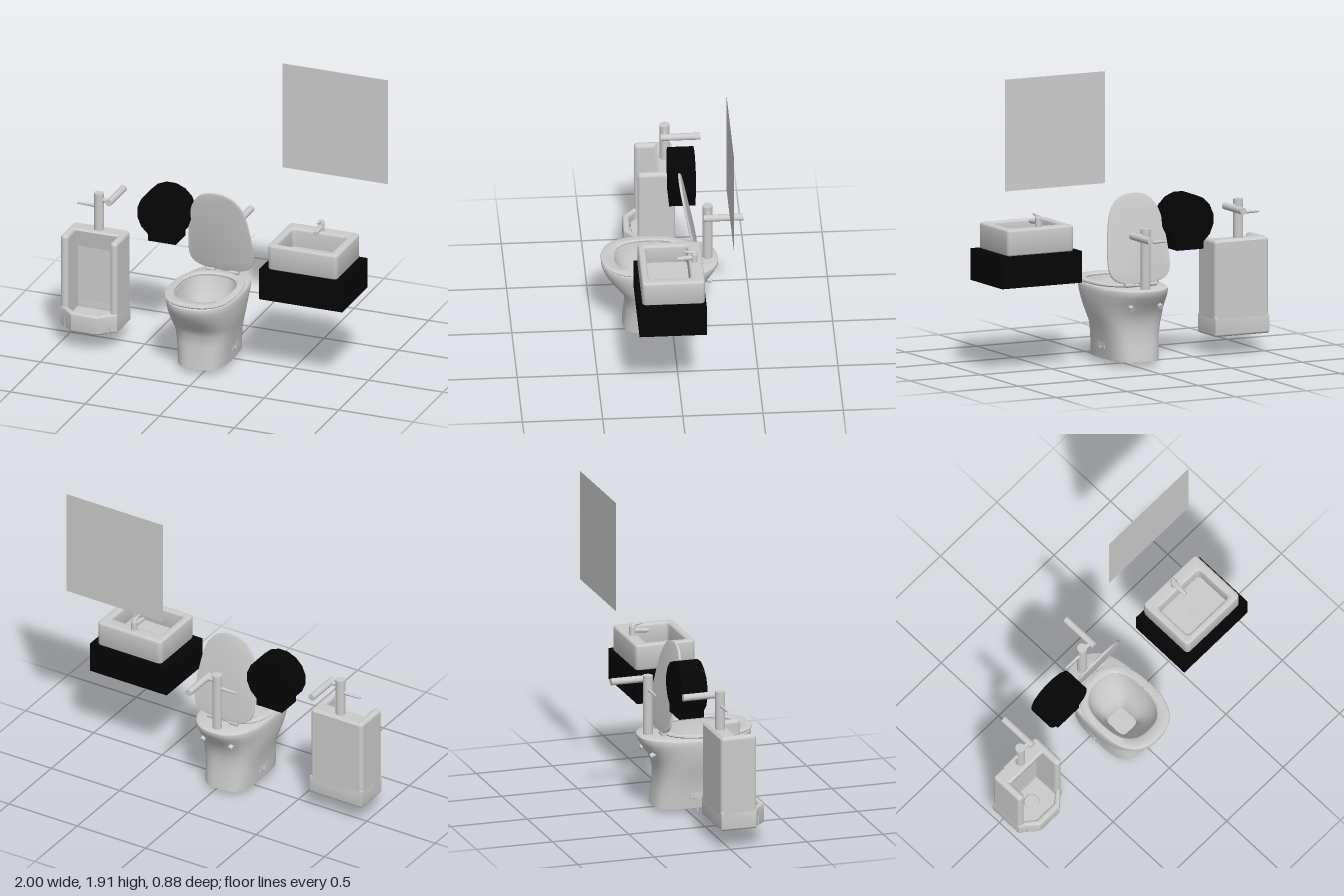
import * as THREE from 'three';
import { toCreasedNormals } from 'three/addons/utils/BufferGeometryUtils.js';
import { RoundedBoxGeometry } from 'three/addons/geometries/RoundedBoxGeometry.js';

const grey = new THREE.MeshStandardMaterial({ color: 0xcccccc });
const greyThin = new THREE.MeshStandardMaterial({ color: 0xcccccc, side: THREE.DoubleSide });
const black = new THREE.MeshStandardMaterial({ color: 0x050505 });

function add(parent, name, geo, x = 0, y = 0, z = 0, mat = grey) {
  const m = new THREE.Mesh(geo, mat);
  m.name = name;
  m.position.set(x, y, z);
  parent.add(m);
  return m;
}

function group(parent, name) {
  const g = new THREE.Group();
  g.name = name;
  parent.add(g);
  return g;
}

// Cylinder between two points
function rod(parent, name, a, b, r, r2 = r, seg = 20) {
  const p = new THREE.Vector3(...a), q = new THREE.Vector3(...b);
  const d = q.clone().sub(p);
  const m = add(parent, name, new THREE.CylinderGeometry(r2, r, d.length(), seg));
  m.position.copy(p).add(q).multiplyScalar(0.5);
  m.quaternion.setFromUnitVectors(new THREE.Vector3(0, 1, 0), d.normalize());
  return m;
}

// Skin over horizontal superellipse rings: [y, halfWidth, zFront, zBack, exponent]
function loft(rings, closed = false, seg = 56) {
  const pos = [], idx = [];
  for (const [y, w, zf, zb, n] of rings)
    for (let i = 0; i < seg; i++) {
      const t = (i / seg) * Math.PI * 2, c = Math.cos(t), s = Math.sin(t), e = 2 / n;
      pos.push(w * Math.sign(c) * Math.abs(c) ** e, y,
        (zf + zb) / 2 + ((zf - zb) / 2) * Math.sign(s) * Math.abs(s) ** e);
    }
  const R = rings.length;
  for (let k = 0; k < (closed ? R : R - 1); k++)
    for (let i = 0; i < seg; i++) {
      const j = (i + 1) % seg, u = ((k + 1) % R) * seg;
      idx.push(k * seg + i, u + i, k * seg + j, k * seg + j, u + i, u + j);
    }
  const g = new THREE.BufferGeometry();
  g.setAttribute('position', new THREE.Float32BufferAttribute(pos, 3));
  g.setIndex(idx);
  return toCreasedNormals(g, 0.75);
}

// Plan outline given as [x, z] points
const plan = (pts) => pts.map(([x, z]) => new THREE.Vector2(x, -z));

function roundedPlan(x0, x1, z0, z1, r, S = THREE.Shape) {
  const s = new S();
  s.moveTo(x0 + r, -z1).lineTo(x1 - r, -z1).quadraticCurveTo(x1, -z1, x1, -z1 + r)
    .lineTo(x1, -z0 - r).quadraticCurveTo(x1, -z0, x1 - r, -z0)
    .lineTo(x0 + r, -z0).quadraticCurveTo(x0, -z0, x0, -z0 - r)
    .lineTo(x0, -z1 + r).quadraticCurveTo(x0, -z1, x0 + r, -z1);
  return s;
}

// Raise a plan from y0 to y1 with softened edges of size b
function raise(shape, y0, y1, b) {
  const g = new THREE.ExtrudeGeometry(shape, {
    depth: y1 - y0 - 2 * b, bevelEnabled: true, bevelSize: b, bevelOffset: -b,
    bevelThickness: b, bevelSegments: 4, curveSegments: 6,
  });
  g.rotateX(-Math.PI / 2).translate(0, y0 + b, 0);
  return toCreasedNormals(g, 0.7);
}

// Flush pipe: riser, horizontal outlet to the wall and hand lever
function flushPipe(parent, x, z, y0, y1) {
  const g = group(parent, 'flushPipe');
  const y = y1 - 0.045, yl = y1 - 0.09;
  rod(g, 'riser', [x, y0, z], [x, y1, z], 0.031, 0.031, 28);
  rod(g, 'connector', [x, y, z], [x + 0.075, y, z], 0.014);
  rod(g, 'wallPipe', [x + 0.077, y, z + 0.03], [x + 0.077, y, z - 0.218], 0.022);
  rod(g, 'lever', [x, yl, z], [x - 0.145, yl, z], 0.012, 0.007);
}

function buildToilet(root) {
  const g = group(root, 'toilet');
  g.position.x = -0.042;
  // Pedestal, rim and bowl interior as one skin
  add(g, 'toiletBowl', loft([
    [0.03, 0, 0.055, 0.055, 3], [0.03, 0.16, 0.31, -0.2, 3.2], [0.1, 0.166, 0.303, -0.19, 3.2],
    [0.18, 0.175, 0.295, -0.178, 3.1], [0.25, 0.19, 0.295, -0.178, 2.9],
    [0.3, 0.203, 0.325, -0.188, 2.8], [0.35, 0.214, 0.37, -0.21, 2.6],
    [0.4, 0.221, 0.408, -0.245, 2.5], [0.44, 0.225, 0.43, -0.272, 2.5],
    [0.47, 0.225, 0.44, -0.288, 2.5], [0.485, 0.222, 0.438, -0.287, 2.5],
    [0.492, 0.213, 0.428, -0.277, 2.5], [0.492, 0.175, 0.358, -0.1, 2.5],
    [0.46, 0.17, 0.35, -0.09, 2.5], [0.38, 0.145, 0.31, -0.05, 2.6],
    [0.3, 0.105, 0.25, 0.01, 3.2], [0.25, 0.078, 0.215, 0.04, 4.5],
    [0.2, 0.07, 0.2, 0.05, 4.5], [0.2, 0, 0.125, 0.125, 4],
  ]));
  add(g, 'seat', loft([
    [0.497, 0.22, 0.438, -0.14, 2.5], [0.504, 0.226, 0.443, -0.146, 2.5],
    [0.512, 0.223, 0.44, -0.143, 2.5], [0.516, 0.212, 0.43, -0.133, 2.5],
    [0.516, 0.182, 0.37, -0.1, 2.5], [0.508, 0.175, 0.36, -0.09, 2.5],
    [0.497, 0.177, 0.362, -0.092, 2.5],
  ], true));
  // Raised lid, leaning slightly forward
  const half = [[0.1, 0.003], [0.18, 0.035], [0.213, 0.09], [0.215, 0.18], [0.205, 0.29],
    [0.187, 0.4], [0.16, 0.48], [0.11, 0.54], [0.05, 0.565]];
  const lid = new THREE.Shape();
  lid.moveTo(0, 0);
  lid.splineThru(half.map((p) => new THREE.Vector2(...p)));
  lid.lineTo(0, 0.57);
  lid.splineThru(half.map(([x, y]) => new THREE.Vector2(-x, y)).reverse());
  const lidGeo = new THREE.ExtrudeGeometry(lid, {
    depth: 0.008, bevelThickness: 0.004, bevelSize: 0.005, bevelOffset: -0.005, bevelSegments: 2, curveSegments: 3,
  });
  add(g, 'lid', toCreasedNormals(lidGeo, 0.7), 0, 0.518, -0.162).rotation.x = 0.195;
  for (const s of [-1, 1]) {
    rod(g, 'hinge', [s * 0.05, 0.512, -0.155], [s * 0.11, 0.512, -0.155], 0.014);
    rod(g, 'floorBolt', [s * 0.138, 0, 0.057], [s * 0.138, 0.035, 0.057], 0.006);
    add(g, 'fixingPocket', new RoundedBoxGeometry(0.02, 0.06, 0.1, 2, 0.004), s * 0.16, 0.122, 0.052);
    rod(g, 'fixingBolt', [s * 0.16, 0.1, 0.055], [s * 0.178, 0.1, 0.055], 0.01);
    rod(g, 'rearBolt', [s * 0.1, 0.39, -0.2], [s * 0.1, 0.375, -0.24], 0.016);
  }
  flushPipe(g, 0, -0.222, 0.47, 0.873);
}

function buildUrinal(root) {
  const g = group(root, 'urinal');
  g.position.x = -0.81;
  // Basin with a projecting faceted lip
  const basin = new THREE.Shape(plan([[-0.19, -0.06], [-0.19, 0.17], [-0.155, 0.19],
    [-0.085, 0.255], [0.085, 0.255], [0.155, 0.19], [0.19, 0.17], [0.19, -0.06]]));
  basin.holes.push(new THREE.Path(plan([[-0.14, 0], [0.14, 0], [0.14, 0.165],
    [0.075, 0.215], [-0.075, 0.215], [-0.14, 0.165]])));
  add(g, 'basin', raise(basin, 0.12, 0.25, 0.015));
  add(g, 'basinFloor', new THREE.BoxGeometry(0.3, 0.06, 0.2), 0, 0.155, 0.1);
  add(g, 'bottom', raise(new THREE.Shape(basin.getPoints()), 0.12, 0.16, 0.015));
  rod(g, 'drain', [0, 0.18, 0.095], [0, 0.195, 0.095], 0.053, 0.045, 28);
  // Back wall with an overhanging top, as a side profile drawn across the width
  const side = new THREE.Shape([[0.06, 0.22], [0.06, 0.715], [0.045, 0.73], [-0.035, 0.73],
    [-0.05, 0.72], [-0.03, 0.61], [0, 0.61], [0, 0.22]].map((p) => new THREE.Vector2(...p)));
  const back = new THREE.ExtrudeGeometry(side, { depth: 0.32, bevelEnabled: false });
  back.rotateY(Math.PI / 2);
  add(g, 'backWall', toCreasedNormals(back, 0.5), -0.16);
  for (const s of [-1, 1])
    add(g, 'sideWall', new RoundedBoxGeometry(0.05, 0.59, 0.235, 5, 0.024), s * 0.165, 0.435, 0.0575);
  flushPipe(g, 0, -0.005, 0.72, 0.975);
}

function buildWashstand(root) {
  const g = group(root, 'washstand');
  add(g, 'counter', new THREE.BoxGeometry(0.56, 0.2, 0.42), 0.65, 0.655, 0.055, black);
  const rim = roundedPlan(0.418, 0.885, -0.147, 0.245, 0.03);
  rim.holes.push(roundedPlan(0.468, 0.828, -0.06, 0.2, 0.025, THREE.Path));
  add(g, 'sink', raise(rim, 0.755, 0.92, 0.014));
  add(g, 'sinkFloor', new THREE.BoxGeometry(0.4, 0.04, 0.3), 0.648, 0.78, 0.07);
  rod(g, 'sinkDrain', [0.648, 0.795, 0.07], [0.648, 0.803, 0.07], 0.02);
  // Mixer tap
  const t = group(g, 'tap');
  rod(t, 'tapBody', [0.645, 0.915, -0.095], [0.645, 0.975, -0.095], 0.021, 0.019);
  rod(t, 'spout', [0.645, 0.95, -0.095], [0.645, 0.94, 0.008], 0.016, 0.013);
  rod(t, 'tapCap', [0.645, 0.975, -0.095], [0.645, 0.988, -0.095], 0.022, 0.016);
  rod(t, 'tapLever', [0.645, 0.982, -0.1], [0.645, 0.993, -0.03], 0.011, 0.007);
}

function buildDispenser(root) {
  const g = group(root, 'paperDispenser');
  const drum = new THREE.CylinderGeometry(0.166, 0.166, 0.163, 16).rotateY(Math.PI / 16).rotateX(Math.PI / 2);
  add(g, 'drum', drum, -0.388, 0.888, -0.082, black);
  add(g, 'paperOutlet', new THREE.BoxGeometry(0.186, 0.12, 0.163), -0.388, 0.766, -0.082, black);
}

export function createModel() {
  const root = new THREE.Group();
  root.name = 'washroomSet';
  buildToilet(root);
  buildUrinal(root);
  buildWashstand(root);
  buildDispenser(root);
  add(root, 'mirror', new THREE.PlaneGeometry(0.705, 0.705), 0.647, 1.553, -0.32, greyThin);
  return root;
}
